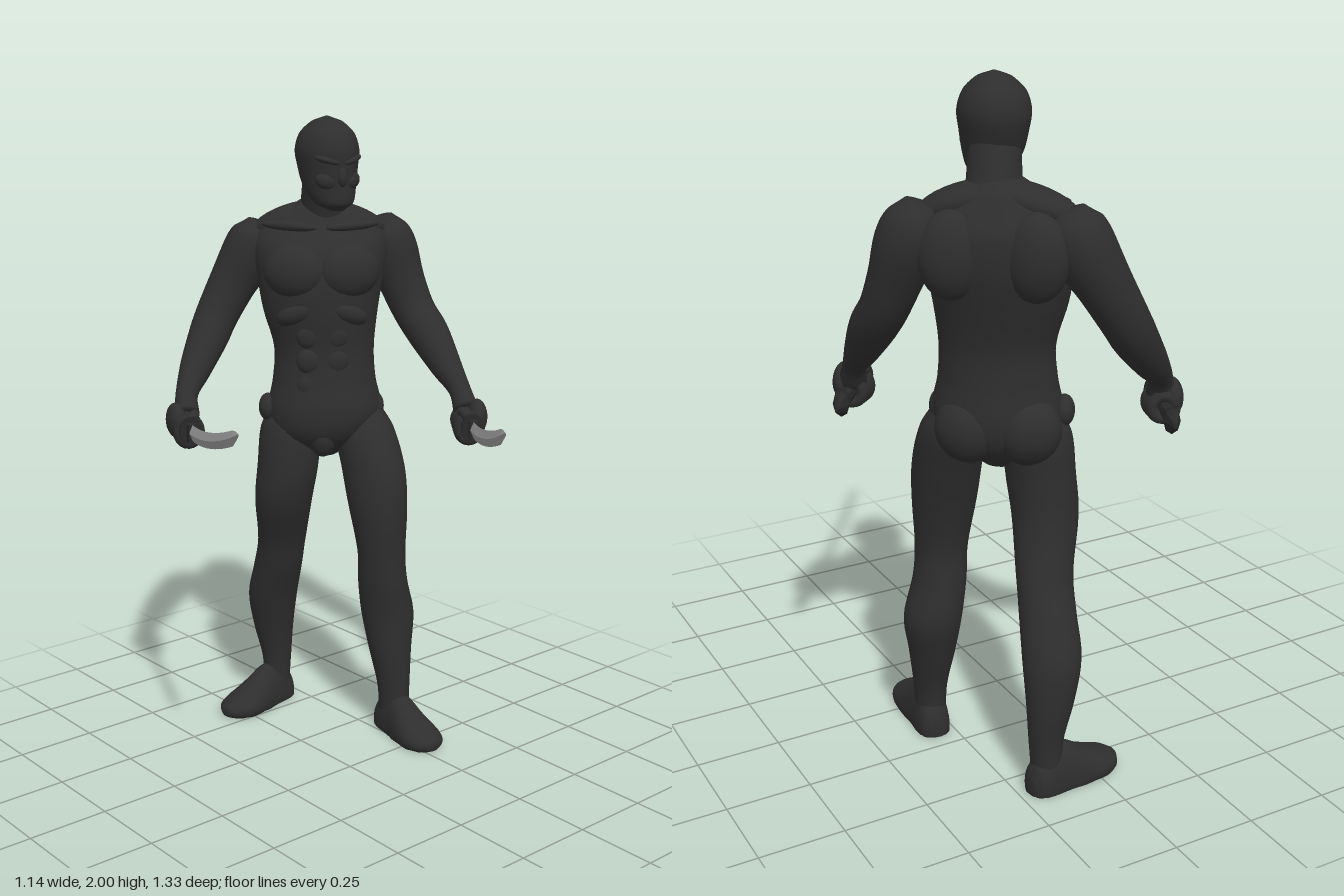
import * as THREE from 'three';

const suit = new THREE.MeshStandardMaterial({ color: 0x2e2e2e });
suit.name = 'dark suit';
const grip = new THREE.MeshStandardMaterial({ color: 0x292929 });
grip.name = 'dark grip';
const steel = new THREE.MeshStandardMaterial({ color: 0x9c9c9c });
steel.name = 'grey steel';

const V = (x, y, z) => new THREE.Vector3(x, y, z);
const UP = V(0, 1, 0), FRONT = V(0, 0, 1);

// Smooth skin over elliptical sections [x, y, z, halfWidth, halfDepth].
// A fixed axis keeps all sections parallel; otherwise they follow the path.
function loft(sections, { front = FRONT, axis = null, sides = 28, steps = 5 } = {}) {
  const path = new THREE.CatmullRomCurve3(sections.map(s => V(s[0], s[1], s[2])));
  const size = new THREE.CatmullRomCurve3(sections.map(s => V(s[3], s[4] ?? s[3], 0)), false, 'catmullrom', 0.5);
  const rows = (sections.length - 1) * steps;
  const pos = [], idx = [];
  for (let i = 0; i <= rows; i++) {
    const c = path.getPoint(i / rows), r = size.getPoint(i / rows);
    const t = axis ? axis.clone().normalize() : path.getTangent(i / rows);
    const s = V().crossVectors(t, front).normalize(), f = V().crossVectors(s, t);
    for (let j = 0; j < sides; j++) {
      const a = j / sides * Math.PI * 2;
      const p = c.clone().addScaledVector(s, Math.cos(a) * r.x).addScaledVector(f, Math.sin(a) * r.y);
      pos.push(p.x, p.y, p.z);
    }
  }
  const first = path.getPoint(0), last = path.getPoint(1), n = (rows + 1) * sides;
  pos.push(...first.toArray(), ...last.toArray());
  for (let j = 0; j < sides; j++) {
    const k = (j + 1) % sides;
    for (let i = 0; i < rows; i++) {
      const a = i * sides + j, b = i * sides + k, c = a + sides, d = b + sides;
      idx.push(a, c, b, b, c, d);
    }
    idx.push(n, j, k, n + 1, rows * sides + k, rows * sides + j);
  }
  const g = new THREE.BufferGeometry();
  g.setAttribute('position', new THREE.Float32BufferAttribute(pos, 3));
  g.setIndex(idx);
  g.computeVertexNormals();
  return g;
}

function add(parent, name, geometry, material = suit) {
  const m = new THREE.Mesh(geometry, material);
  m.name = name;
  parent.add(m);
  return m;
}

function blob(parent, name, [x, y, z], [a, b, c], rot = [0, 0, 0]) {
  const m = add(parent, name, new THREE.SphereGeometry(1, 24, 16));
  m.position.set(x, y, z);
  m.scale.set(a, b, c);
  m.rotation.set(...rot);
  return m;
}

function makeTorso() {
  const g = new THREE.Group();
  g.name = 'torso';
  g.position.set(0.2, 0, -0.38);
  g.rotation.y = -0.644;
  add(g, 'trunk', loft([
    [0, 0.93, 0.03, 0.05, 0.05], [0, 1.0, 0.03, 0.15, 0.12], [0.01, 1.08, 0.03, 0.182, 0.138],
    [0.01, 1.18, 0.025, 0.165, 0.125], [0.01, 1.28, 0.02, 0.16, 0.122], [0, 1.4, 0.01, 0.183, 0.143],
    [0, 1.5, -0.005, 0.2, 0.155], [0, 1.6, -0.025, 0.215, 0.14], [0, 1.66, -0.035, 0.19, 0.105],
    [0, 1.71, -0.035, 0.11, 0.08], [0, 1.74, -0.03, 0.06, 0.055],
  ], { axis: UP, sides: 40 }));
  for (const s of [-1, 1]) {
    blob(g, 'pectoral', [s * 0.085, 1.53, 0.1], [0.1, 0.085, 0.06], [-0.15, s * 0.25, s * 0.15]);
    blob(g, 'shoulderBlade', [s * 0.11, 1.55, -0.12], [0.09, 0.12, 0.065], [0, s * 0.2, 0]);
    blob(g, 'collarBone', [s * 0.1, 1.665, 0.05], [0.09, 0.016, 0.02], [0, s * 0.35, s * 0.05]);
    blob(g, 'trapezius', [s * 0.09, 1.68, -0.045], [0.13, 0.045, 0.075], [0, 0, -s * 0.3]);
    blob(g, 'buttock', [s * 0.08, 1.05, -0.035], [0.095, 0.1, 0.085]);
    blob(g, 'hipJoint', [s * 0.172, 1.085, 0.035], [0.03, 0.045, 0.045]);
    blob(g, 'ribEdge', [s * 0.075, 1.4, 0.1], [0.075, 0.04, 0.05], [0, s * 0.3, -s * 0.4]);
    for (let i = 0; i < 3; i++)
      blob(g, 'abdominal', [s * 0.04, 1.17 + i * 0.08, 0.125], [0.042, 0.043, 0.022]);
  }
  blob(g, 'groin', [0, 1.0, 0.105], [0.045, 0.065, 0.05]);
  return g;
}

function makeHead() {
  const g = new THREE.Group();
  g.name = 'head';
  add(g, 'neck', loft([[0.235, 1.64, -0.4, 0.085], [0.22, 1.72, -0.385, 0.074], [0.2, 1.84, -0.35, 0.07]]));
  const skull = new THREE.Group();
  skull.position.set(0.193, 0, -0.335);
  skull.rotation.y = -0.25;
  g.add(skull);
  add(skull, 'hood', loft([
    [0, 1.718, 0.065, 0.02, 0.025], [0, 1.74, 0.045, 0.06, 0.065], [0, 1.79, 0.015, 0.08, 0.094],
    [0, 1.85, 0.002, 0.091, 0.108], [0, 1.9, -0.002, 0.097, 0.112], [0, 1.95, -0.003, 0.082, 0.093],
    [0, 1.985, -0.003, 0.045, 0.052], [0, 2.0, -0.003, 0.004, 0.004],
  ], { axis: UP }));
  // Mask relief: nose, brows and cheeks
  blob(skull, 'nose', [0, 1.825, 0.1], [0.016, 0.035, 0.02], [-0.2, 0, 0]);
  for (const s of [-1, 1]) {
    blob(skull, 'brow', [s * 0.042, 1.872, 0.088], [0.042, 0.011, 0.018], [0, s * 0.5, s * 0.25]);
    blob(skull, 'cheek', [s * 0.043, 1.808, 0.082], [0.035, 0.025, 0.02], [0, s * 0.5, s * 0.3]);
  }
  return g;
}

// Foot sections: [distance forward of ankle, half width, height], flattened at the ground
function makeFoot(name, x, z, heading) {
  const rows = [[-0.075, 0.02, 0.05], [-0.06, 0.042, 0.09], [-0.02, 0.052, 0.13], [0.04, 0.056, 0.135],
    [0.1, 0.066, 0.1], [0.16, 0.07, 0.07], [0.205, 0.055, 0.052], [0.232, 0.022, 0.035]];
  const h = heading.clone().normalize();
  const geo = loft(rows.map(([d, w, t]) => [x + h.x * d, 0.02, z + h.z * d, w, t - 0.02]), { axis: h, front: UP });
  const p = geo.attributes.position;
  for (let i = 0; i < p.count; i++) p.setY(i, Math.max(0, p.getY(i)));
  geo.computeVertexNormals();
  const g = new THREE.Group();
  add(g, name, geo);
  return g;
}

// Sword along +z with its guard at the origin, and a fist closed round the grip
function makeSword(side) {
  const g = new THREE.Group();
  g.name = side > 0 ? 'leftSword' : 'rightSword';
  const blade = [];
  for (let i = 0; i <= 10; i++) {
    const t = i / 10 * 0.9;
    blade.push([0, 0.145 * t ** 1.5, 0.665 * t, 0.011, 0.026 - 0.004 * t]);
  }
  blade.push([0, 0.138, 0.637, 0.008, 0.014], [0, 0.152, 0.67, 0.001, 0.001]);
  const bladeGeo = loft(blade, { front: UP, axis: FRONT, sides: 4, steps: 1 }).toNonIndexed();
  bladeGeo.computeVertexNormals();
  add(g, 'blade', bladeGeo, steel);

  const guard = add(g, 'guard', new THREE.CylinderGeometry(0.046, 0.046, 0.014, 24), grip);
  guard.rotation.x = Math.PI / 2;
  guard.scale.x = 0.75;
  const collar = add(g, 'bladeCollar', new THREE.BoxGeometry(0.026, 0.056, 0.03), grip);
  collar.position.z = 0.018;
  const gripGeo = loft([[0, -0.004, -0.29, 0.006, 0.008], [0, -0.006, -0.24, 0.024, 0.038],
    [0, -0.006, -0.19, 0.018, 0.022], [0, -0.004, -0.1, 0.018, 0.022], [0, 0, 0, 0.018, 0.024]],
  { front: UP, axis: FRONT, sides: 8, steps: 1 }).toNonIndexed();
  gripGeo.computeVertexNormals();
  add(g, 'handle', gripGeo, grip);

  for (let i = 0; i < 4; i++) {
    const f = add(g, 'finger', new THREE.TorusGeometry(0.033, 0.017, 10, 20));
    f.position.set(-side * 0.004, -0.012 + i * 0.003, -0.05 - i * 0.029);
    f.scale.y = 1.12 - i * 0.04;
  }
  blob(g, 'palm', [side * 0.026, 0.015, -0.095], [0.032, 0.055, 0.062]);
  blob(g, 'thumb', [-side * 0.015, 0.032, -0.045], [0.018, 0.018, 0.042], [0.3, side * 0.5, 0]);
  return g;
}

export function createModel() {
  const model = new THREE.Group();
  model.name = 'swordsman';
  model.add(makeTorso(), makeHead());

  // Legs
  add(model, 'leftLeg', loft([
    [0.28, 1.1, -0.29, 0.06, 0.07], [0.282, 1.02, -0.265, 0.092, 0.105], [0.28, 0.9, -0.215, 0.096, 0.112],
    [0.275, 0.78, -0.185, 0.092, 0.102], [0.278, 0.62, -0.168, 0.077, 0.08], [0.287, 0.52, -0.172, 0.078, 0.084],
    [0.312, 0.4, -0.175, 0.086, 0.087], [0.308, 0.28, -0.157, 0.069, 0.073], [0.305, 0.15, -0.135, 0.049, 0.058],
    [0.303, 0.05, -0.13, 0.045, 0.055]].reverse(), { axis: UP }));
  add(model, 'rightLeg', loft([
    [0.11, 1.1, -0.42, 0.06, 0.06], [0.105, 1.02, -0.42, 0.096, 0.095], [0.092, 0.9, -0.418, 0.098, 0.1],
    [0.086, 0.78, -0.435, 0.095, 0.092], [0.115, 0.62, -0.485, 0.082, 0.075], [0.125, 0.52, -0.52, 0.081, 0.08],
    [0.136, 0.4, -0.565, 0.085, 0.078], [0.15, 0.28, -0.582, 0.07, 0.064], [0.163, 0.15, -0.583, 0.05, 0.047],
    [0.16, 0.05, -0.585, 0.046, 0.045]].reverse(), { axis: UP }));
  model.add(makeFoot('leftFoot', 0.305, -0.13, V(-0.15, 0, 1)));
  model.add(makeFoot('rightFoot', 0.148, -0.585, V(-1, 0, 0.15)));

  // Arms
  add(model, 'leftArm', loft([
    [0.4, 1.675, -0.325, 0.045], [0.415, 1.63, -0.32, 0.08], [0.435, 1.57, -0.308, 0.088], [0.456, 1.47, -0.275, 0.075],
    [0.47, 1.38, -0.23, 0.068], [0.475, 1.31, -0.165, 0.066], [0.472, 1.22, -0.08, 0.05],
    [0.465, 1.155, -0.01, 0.035], [0.455, 1.1, 0.03, 0.04]]));
  add(model, 'rightArm', loft([
    [0.09, 1.665, -0.54, 0.045], [0.08, 1.625, -0.55, 0.08], [0.06, 1.565, -0.57, 0.088], [0.01, 1.47, -0.595, 0.076],
    [-0.05, 1.37, -0.602, 0.068], [-0.092, 1.31, -0.59, 0.064], [-0.17, 1.22, -0.555, 0.05],
    [-0.232, 1.155, -0.515, 0.035], [-0.255, 1.1, -0.485, 0.04]]));

  // Swords
  const left = makeSword(1);
  left.position.set(0.385, 1.068, 0.13);
  left.rotation.y = -0.66;
  const right = makeSword(-1);
  right.position.set(-0.3, 1.068, -0.4);
  right.rotation.set(0, -0.415, 0);
  model.add(left, right);
  return model;
}
